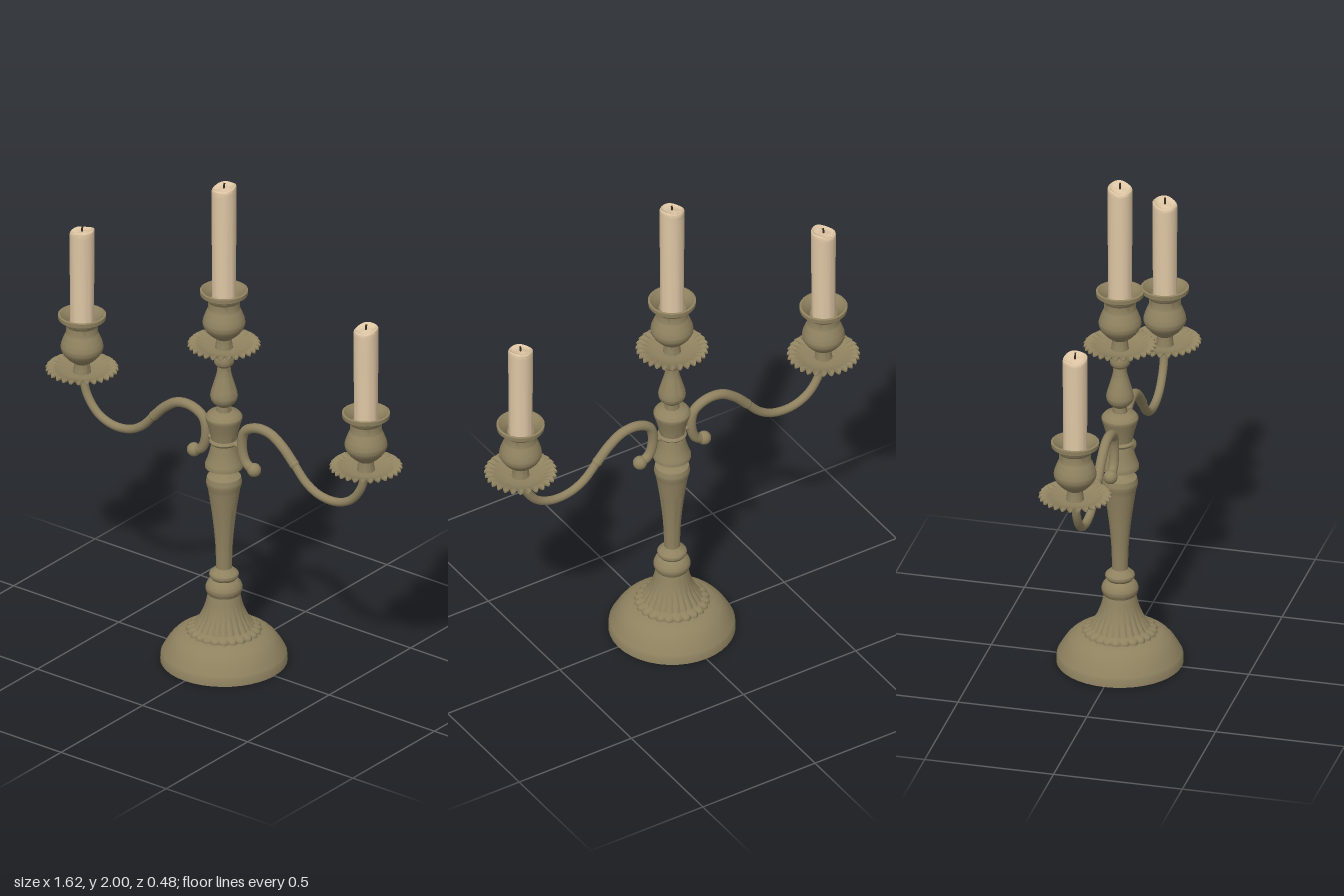
import * as THREE from 'three';
import { toCreasedNormals } from 'three/addons/utils/BufferGeometryUtils.js';

const mat = (name, color) => {
  const m = new THREE.MeshStandardMaterial({ color });
  m.name = name;
  return m;
};

// Lathe from sections of [radius, height]; each section is a smooth curve, joints stay sharp.
// bend(v, angle) may move every vertex.
function turned(sections, segments, bend) {
  const pts = [];
  for (const s of sections) {
    const v = s.map(([r, y]) => new THREE.Vector2(r, y));
    const line = v.length > 2 ? new THREE.SplineCurve(v).getPoints((v.length - 1) * 4) : v;
    for (const p of line) {
      p.x = Math.max(p.x, 0);
      if (!pts.length || pts[pts.length - 1].distanceTo(p) > 1e-5) pts.push(p);
    }
  }
  const geo = new THREE.LatheGeometry(pts, segments);
  if (bend) {
    const pos = geo.attributes.position, v = new THREE.Vector3();
    for (let i = 0; i < pos.count; i++) {
      v.fromBufferAttribute(pos, i);
      bend(v, Math.atan2(v.x, v.z));
      pos.setXYZ(i, v.x, v.y, v.z);
    }
  }
  return toCreasedNormals(geo, 0.6);
}

const scaleRadius = (v, k) => { v.x *= k; v.z *= k; };

export function createModel() {
  const model = new THREE.Group();
  model.name = 'candelabra';
  const brass = mat('aged brass', 0x8f8260);
  const wax = mat('cream wax', 0xdec6a4);
  const char = mat('charred wick', 0x3a3128);

  const add = (parent, name, geo, material) => {
    const m = new THREE.Mesh(geo, material);
    m.name = name;
    parent.add(m);
    return m;
  };

  // Domed foot
  add(model, 'foot', turned([
    [[0, 0], [0.24, 0]],
    [[0.24, 0], [0.238, 0.03]],
    [[0.238, 0.03], [0.215, 0.07], [0.19, 0.1], [0.16, 0.12]],
    [[0.16, 0.12], [0, 0.122]],
  ], 40), brass);

  // Fluted skirt with a scalloped lower edge
  add(model, 'flutedSkirt', turned([
    [[0.1, 0.118], [0.143, 0.122]],
    [[0.143, 0.122], [0.138, 0.136], [0.115, 0.145]],
    [[0.115, 0.145], [0.09, 0.185], [0.072, 0.23], [0.06, 0.28]],
  ], 144, (v, a) => {
    const fade = THREE.MathUtils.clamp((0.26 - v.y) / 0.1, 0, 1);
    scaleRadius(v, 1 - 0.07 * fade * (1 - Math.abs(Math.sin(a * 12))));
  }), brass);

  // Lower column
  add(model, 'column', turned([
    [[0.055, 0.27], [0.066, 0.285], [0.07, 0.305], [0.062, 0.325], [0.048, 0.34]],
    [[0.048, 0.34], [0.055, 0.35], [0.055, 0.362], [0.045, 0.372]],
    [[0.045, 0.372], [0.03, 0.385]],
    [[0.03, 0.385], [0.033, 0.48], [0.042, 0.58], [0.054, 0.67], [0.061, 0.715]],
    [[0.061, 0.715], [0.064, 0.725]],
    [[0.064, 0.725], [0.068, 0.745], [0.064, 0.768]],
    [[0.064, 0.768], [0.035, 0.782], [0.021, 0.79]],
    [[0.021, 0.79], [0.021, 0.815]],
  ], 32), brass);

  // Hub carrying the arms, and the baluster above it
  add(model, 'hub', turned([
    [[0.02, 0.808], [0.072, 0.808]],
    [[0.072, 0.808], [0.072, 0.82]],
    [[0.072, 0.82], [0.058, 0.86], [0.048, 0.905]],
    [[0.048, 0.905], [0.056, 0.915], [0.048, 0.925]],
    [[0.048, 0.925], [0.055, 0.96], [0.068, 1.005]],
    [[0.068, 1.005], [0.07, 1.018], [0.06, 1.032]],
    [[0.06, 1.032], [0.028, 1.042]],
    [[0.028, 1.042], [0.026, 1.065]],
    [[0.026, 1.065], [0.046, 1.085], [0.052, 1.11], [0.042, 1.15], [0.028, 1.2], [0.025, 1.23]],
    [[0.025, 1.23], [0.037, 1.243], [0.038, 1.265], [0.032, 1.28]],
    [[0.032, 1.28], [0.026, 1.3]],
  ], 32), brass);

  // One holder: scalloped drip dish, cup, candle and wick
  function holder(name, x, y, candleTop, melt) {
    const g = new THREE.Group();
    g.name = name;
    g.position.set(x, y, 0);
    model.add(g);

    add(g, 'dripDish', turned([
      [[0.02, -0.045], [0.026, -0.028]],
      [[0.026, -0.028], [0.07, -0.02], [0.115, -0.006], [0.138, 0]],
      [[0.138, 0], [0.138, 0.006]],
      [[0.138, 0.006], [0.112, 0.001], [0.07, -0.012], [0.01, -0.016]],
    ], 168, (v, a) => {
      const edge = THREE.MathUtils.clamp((Math.hypot(v.x, v.z) - 0.095) / 0.043, 0, 1);
      const lobe = Math.abs(Math.sin(a * 14));
      scaleRadius(v, 1 - 0.09 * edge * (1 - lobe));
      v.y += edge * (0.5 - lobe) * 0.01;
    }), brass);

    add(g, 'candleCup', turned([
      [[0.034, -0.018], [0.031, 0.005], [0.03, 0.025]],
      [[0.03, 0.025], [0.055, 0.045], [0.077, 0.075], [0.08, 0.1], [0.07, 0.13], [0.06, 0.152]],
      [[0.06, 0.152], [0.06, 0.182]],
      [[0.06, 0.182], [0.067, 0.19]],
      [[0.067, 0.19], [0.074, 0.203], [0.09, 0.21]],
      [[0.09, 0.21], [0.091, 0.226]],
      [[0.091, 0.226], [0.083, 0.228]],
      [[0.083, 0.228], [0.062, 0.206], [0.052, 0.19]],
      [[0.052, 0.19], [0, 0.188]],
    ], 32), brass);

    // Candle with an unevenly melted rim around a shallow pool
    add(g, 'candle', turned([
      [[0, 0.18], [0.045, 0.18]],
      [[0.045, 0.18], [0.047, candleTop - 0.04]],
      [[0.047, candleTop - 0.04], [0.047, candleTop - 0.006], [0.043, candleTop]],
      [[0.043, candleTop], [0.032, candleTop - 0.01], [0.015, candleTop - 0.015], [0, candleTop - 0.016]],
    ], 28, (v, a) => {
      if (v.y < candleTop - 0.03) return;
      const r = Math.hypot(v.x, v.z) / 0.047;
      v.y -= r * (0.009 * (1 + Math.cos(a - melt)) + 0.003 * (1 + Math.sin(3 * a + melt)));
    }), wax);

    const wick = new THREE.CatmullRomCurve3([[0, -0.02], [0.001, 0], [0.004, 0.008]]
      .map(([wx, wy]) => new THREE.Vector3(wx, candleTop + wy, 0)));
    add(g, 'wick', new THREE.TubeGeometry(wick, 6, 0.0035, 6), char);
  }

  holder('centreHolder', 0, 1.322, 0.67, -0.9);
  holder('leftHolder', 0.675, 1.014, 0.59, -0.6);
  holder('rightHolder', -0.675, 1.014, 0.59, -1.8);

  // Scrolled arms: a thick inner scroll over a slimmer outer sweep
  const inner = [[0.14, 0.832], [0.102, 0.858], [0.085, 0.925], [0.1, 0.985], [0.155, 1.014],
    [0.22, 1.01], [0.28, 0.972], [0.335, 0.916]];
  const outer = [[0.28, 0.972], [0.335, 0.916], [0.39, 0.858], [0.45, 0.826], [0.53, 0.82],
    [0.6, 0.848], [0.65, 0.91], [0.672, 0.985]];
  const curve = (p) => new THREE.CatmullRomCurve3(p.map(([x, y]) => new THREE.Vector3(x, y, 0)));

  for (const side of ['left', 'right']) {
    const arm = new THREE.Group();
    arm.name = side + 'Arm';
    arm.rotation.y = side === 'left' ? 0 : Math.PI;
    model.add(arm);
    add(arm, 'innerScroll', new THREE.TubeGeometry(curve(inner), 56, 0.019, 12), brass);
    add(arm, 'outerSweep', new THREE.TubeGeometry(curve(outer), 48, 0.0165, 12), brass);
    const ball = add(arm, 'scrollBall', new THREE.SphereGeometry(0.027, 16, 12), brass);
    ball.position.set(0.143, 0.835, 0);
    const tip = add(arm, 'scrollTip', new THREE.SphereGeometry(0.0195, 12, 10), brass);
    tip.position.set(0.333, 0.918, 0);
    // Short bar joining the scroll to the hub
    const bar = add(arm, 'armBar', new THREE.CylinderGeometry(0.01, 0.01, 0.07, 10), brass);
    bar.rotation.z = Math.PI / 2;
    bar.position.set(0.06, 0.915, 0);
  }
  return model;
}
